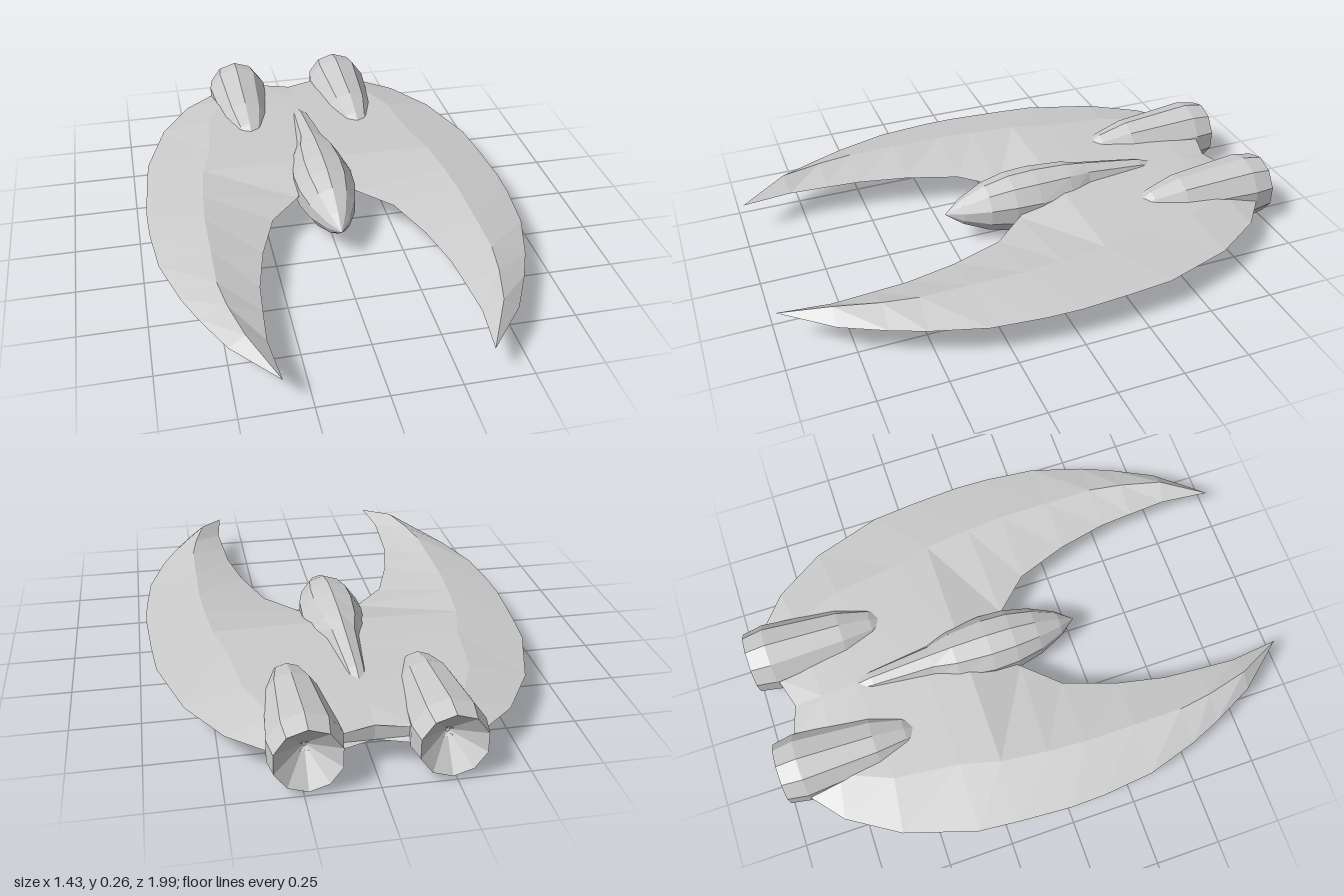
import * as THREE from 'three';

const Y = 0.135; // height of the sharp mid-plane
const material = new THREE.MeshStandardMaterial({ color: 0xcccccc, flatShading: true });

function addMesh(group, name, geometry) {
  const mesh = new THREE.Mesh(geometry, material);
  mesh.name = name;
  group.add(mesh);
  return mesh;
}

// Ten-sided body of revolution along z; profile is [radius, z] from back to front
function turned(profile) {
  const points = profile.map(([r, z]) => new THREE.Vector2(r, z));
  return new THREE.LatheGeometry(points, 10).rotateX(Math.PI / 2);
}

// Wing stations from tip to tail:
// outer edge x,z | ridge x,z,half height | inner edge x,z,half height
const stations = [
  [0.35, 0.99, 0.35, 0.99, 0, 0.35, 0.99, 0],
  [0.50, 0.81, 0.44, 0.81, 0.045, 0.37, 0.80, 0],
  [0.58, 0.65, 0.48, 0.65, 0.045, 0.36, 0.65, 0],
  [0.63, 0.53, 0.50, 0.52, 0.045, 0.35, 0.52, 0],
  [0.69, 0.33, 0.50, 0.33, 0.045, 0.31, 0.33, 0],
  [0.71, 0.13, 0.50, 0.13, 0.045, 0.24, 0.13, 0],
  [0.713, 0.0, 0.49, -0.02, 0.045, 0.12, 0.0, 0],
  [0.70, -0.20, 0.47, -0.20, 0.045, 0, -0.20, 0.05],
  [0.685, -0.36, 0.43, -0.35, 0.045, 0, -0.36, 0.05],
  [0.60, -0.63, 0.40, -0.60, 0.043, 0, -0.63, 0.048],
  [0.48, -0.82, 0.32, -0.79, 0.04, 0, -0.77, 0.042],
  [0.36, -0.92, 0.13, -0.92, 0.03, 0, -0.88, 0.028],
];

function wing(side) {
  const positions = [];
  const rings = stations.map(([ox, oz, rx, rz, h, ix, iz, k]) => [
    [ox, Y, oz], [rx, Y + h, rz], [ix, Y + k, iz], [ix, Y - k, iz], [rx, Y - h, rz],
  ]);
  const tri = (a, b, c) => {
    for (const p of side > 0 ? [a, b, c] : [a, c, b]) positions.push(p[0] * side, p[1], p[2]);
  };
  for (let i = 0; i < rings.length - 1; i++) {
    for (let j = 0; j < 5; j++) {
      // the two halves meet openly on the centre line
      if (j === 2 && (i < 6 || rings[i][j][0] === 0)) continue;
      const n = (j + 1) % 5;
      const a = rings[i][j], b = rings[i][n], c = rings[i + 1][j], d = rings[i + 1][n];
      if (i > 0) tri(a, c, b);
      tri(b, c, d);
    }
  }
  // blunt trailing edge
  const end = rings[rings.length - 1];
  for (let j = 1; j < 4; j++) tri(end[0], end[j + 1], end[j]);
  const geometry = new THREE.BufferGeometry();
  geometry.setAttribute('position', new THREE.Float32BufferAttribute(positions, 3));
  geometry.computeVertexNormals();
  return geometry;
}

// Central pod, its tail pinched sideways where it blends into the wing
function pod() {
  const geometry = turned([
    [0, -0.76], [0.068, -0.57], [0.105, -0.33], [0.117, -0.24], [0.123, -0.1],
    [0.118, 0], [0.095, 0.1], [0.05, 0.2], [0, 0.265],
  ]);
  const p = geometry.attributes.position;
  for (let i = 0; i < p.count; i++) {
    const z = p.getZ(i);
    if (z < -0.3) p.setX(i, p.getX(i) * 0.68);
    else if (z < -0.2) p.setX(i, p.getX(i) * 0.9);
  }
  geometry.computeVertexNormals();
  return geometry;
}

export function createModel() {
  const model = new THREE.Group();
  model.name = 'spacecraft';

  addMesh(model, 'centralPod', pod()).position.y = Y;

  // Engine with a hollow conical nozzle at the back
  const engine = turned([
    [0, -0.9], [0.117, -1], [0.131, -0.92], [0.102, -0.63], [0.067, -0.51], [0, -0.4],
  ]);

  for (const [label, side] of [['left', 1], ['right', -1]]) {
    addMesh(model, label + 'Wing', wing(side));
    addMesh(model, label + 'Engine', engine).position.set(side * 0.235, Y, 0);
  }
  return model;
}
